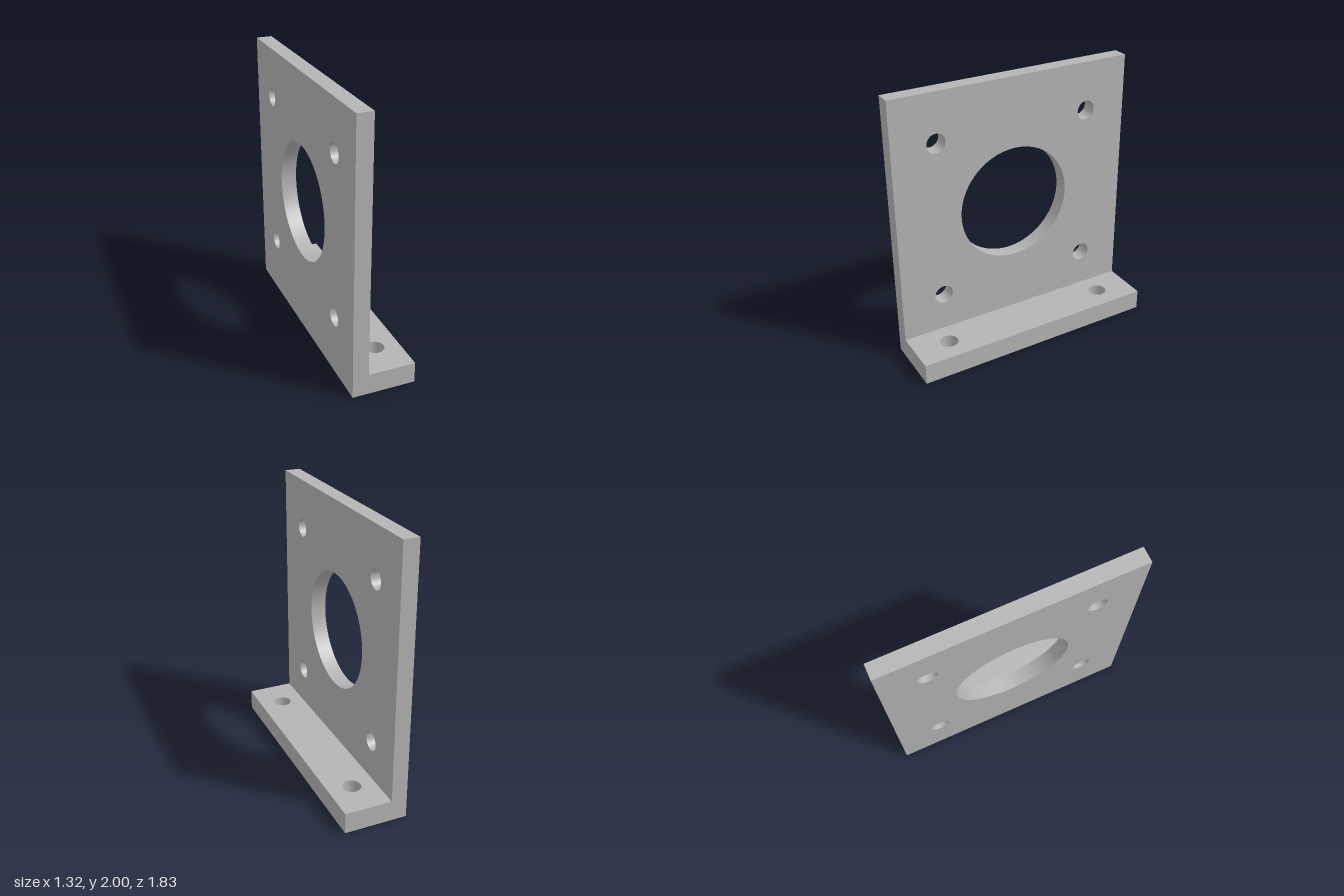
import * as THREE from 'three';
import { toCreasedNormals } from 'three/addons/utils/BufferGeometryUtils.js';

const LENGTH = 1.846, DEPTH = 0.4615, HEIGHT = 2;
const BASE_T = 0.154, PLATE_T = 0.115;

// Rectangle with round holes [x, y, radius], extruded along +z
function drilledPlate(x0, y0, x1, y1, thickness, holes) {
  const shape = new THREE.Shape();
  shape.moveTo(x0, y0).lineTo(x1, y0).lineTo(x1, y1).lineTo(x0, y1).closePath();
  for (const [x, y, r] of holes) {
    shape.holes.push(new THREE.Path().absarc(x, y, r, 0, Math.PI * 2, true));
  }
  const geo = new THREE.ExtrudeGeometry(shape, { depth: thickness, bevelEnabled: false, curveSegments: 48 });
  return toCreasedNormals(geo, 0.5);
}

export function createModel() {
  const metal = new THREE.MeshStandardMaterial({ color: 0xb4b4b4 });
  metal.name = 'grey metal';

  const bracket = new THREE.Group();
  bracket.name = 'mountingBracket';

  // Upright plate: large central bore and four screw holes
  const cy = 1.041, s = 0.597;
  const holes = [[0, cy, 0.432]];
  for (const sx of [-s, s]) for (const sy of [-s, s]) holes.push([sx, cy + sy, 0.07]);
  const plate = new THREE.Mesh(
    drilledPlate(-LENGTH / 2, BASE_T, LENGTH / 2, HEIGHT, PLATE_T, holes), metal);
  plate.name = 'uprightPlate';
  plate.position.z = -DEPTH / 2;
  bracket.add(plate);

  // Foot flange: two screw holes, laid flat so its outline's y runs along -z
  const footGeo = drilledPlate(-LENGTH / 2, -DEPTH / 2, LENGTH / 2, DEPTH / 2, BASE_T,
    [-0.654, 0.654].map((x) => [x, -0.054, 0.067]));
  footGeo.rotateX(-Math.PI / 2);
  const foot = new THREE.Mesh(footGeo, metal);
  foot.name = 'footFlange';
  bracket.add(foot);

  // The bracket stands turned about the vertical
  bracket.rotation.y = Math.PI / 3;
  const model = new THREE.Group();
  model.name = 'model';
  model.add(bracket);
  return model;
}
